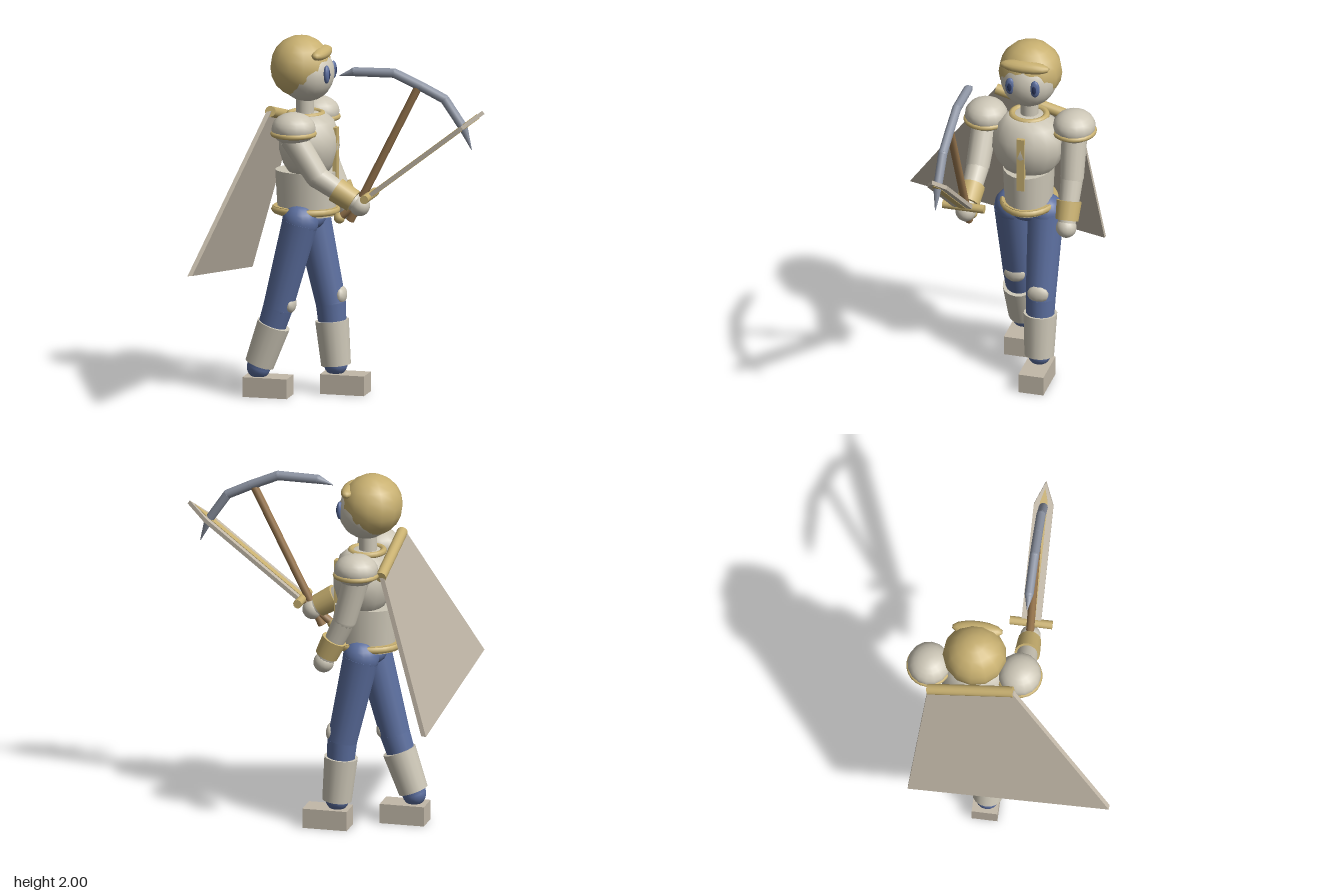
import * as THREE from 'three';
import { ConvexGeometry } from 'three/addons/geometries/ConvexGeometry.js';

const material = (name, color) => {
  const m = new THREE.MeshStandardMaterial({ color });
  m.name = name;
  return m;
};
const V = (x, y, z) => new THREE.Vector3(x, y, z);

export function createModel() {
  const cream = material('cream', 0xcdc7b7);
  const stone = material('stone', 0xc2b8a8);
  const gold = material('gold', 0xc8b070);
  const blue = material('blue', 0x5b6e9e);
  const steel = material('steel', 0x8f96a5);
  const wood = material('wood', 0x99774f);
  const dark = material('dark blue', 0x2e3a62);

  const model = new THREE.Group();
  model.name = 'adventurer';

  const add = (name, geometry, mat, pos = [0, 0, 0], parent = model) => {
    const mesh = new THREE.Mesh(geometry, mat);
    mesh.name = name;
    mesh.position.set(...pos);
    parent.add(mesh);
    return mesh;
  };
  const ball = (name, mat, pos, rx, ry = rx, rz = rx, seg = 16) => {
    const mesh = add(name, new THREE.SphereGeometry(1, seg, Math.ceil(seg * 0.7)), mat, pos);
    mesh.scale.set(rx, ry, rz);
    return mesh;
  };
  // Tapered cylinder running from point a to point b
  const rod = (name, mat, a, b, ra, rb = ra, seg = 16) => {
    const p = V(...a), q = V(...b);
    const mesh = add(name, new THREE.CylinderGeometry(rb, ra, p.distanceTo(q), seg), mat);
    mesh.position.copy(p).lerp(q, 0.5);
    mesh.quaternion.setFromUnitVectors(V(0, 1, 0), q.sub(p).normalize());
    return mesh;
  };
  const ring = (name, mat, pos, rx, rz, tube) => {
    const g = new THREE.TorusGeometry(1, tube / rx, 8, 24).rotateX(Math.PI / 2);
    const mesh = add(name, g, mat, pos);
    mesh.scale.set(rx, rx, rz);
    return mesh;
  };

  const midZ = -0.21;

  // Head, facing +x
  ball('head', cream, [-0.31, 1.795, midZ], 0.153, 0.157, 0.155, 20);
  ball('hair', gold, [-0.343, 1.83, midZ], 0.17, 0.172, 0.176, 13);
  ball('fringe', gold, [-0.225, 1.91, midZ], 0.047, 0.036, 0.142, 14);
  for (const s of [-1, 1]) {
    ball('eye', blue, [-0.178, 1.805, midZ + s * 0.07], 0.018, 0.05, 0.028);
    ball('pupil', dark, [-0.164, 1.805, midZ + s * 0.07], 0.006, 0.026, 0.013);
  }
  rod('neck', cream, [-0.32, 1.54, midZ], [-0.32, 1.68, midZ], 0.05);
  ring('collar', gold, [-0.315, 1.565, midZ], 0.09, 0.095, 0.018);

  // Torso
  const chestProfile = [[0, 1.22], [0.13, 1.24], [0.175, 1.3], [0.203, 1.38], [0.198, 1.45], [0.165, 1.53], [0.11, 1.57], [0, 1.575]];
  const chest = add('chest', new THREE.LatheGeometry(chestProfile.map(p => new THREE.Vector2(...p)), 16), cream, [-0.295, 0, midZ]);
  chest.scale.x = 0.81;
  const waist = add('waist', new THREE.CylinderGeometry(0.14, 0.128, 0.25, 20), cream, [-0.31, 1.13, midZ]);
  waist.scale.x = 1.25;
  const belt = add('belt', new THREE.CylinderGeometry(0.148, 0.148, 0.04, 20), gold, [-0.315, 1.035, midZ]);
  belt.scale.x = 1.22;
  ring('belt rim', gold, [-0.315, 1.035, midZ], 0.172, 0.143, 0.02);
  add('chest strip', new THREE.BoxGeometry(0.025, 0.32, 0.045), gold, [-0.146, 1.34, midZ]);
  ball('pelvis', blue, [-0.315, 0.99, midZ], 0.11, 0.075, 0.13);

  // Shoulders
  for (const z of [0.035, -0.465]) {
    ball('shoulder pad', cream, [-0.318, 1.53, z], 0.122, 0.09, 0.118);
    ring('shoulder trim', gold, [-0.318, 1.502, z], 0.113, 0.11, 0.015);
  }

  // Arms: joints listed from shoulder to hand, then the two cuff ends
  const arms = [
    { side: 'left', s: [-0.32, 1.48, 0.04], e: [-0.18, 1.27, 0.045], h: [0.06, 1.122, 0.045], c: [[-0.075, 1.205, 0.045], [0.025, 1.145, 0.045]] },
    { side: 'right', s: [-0.32, 1.48, -0.465], e: [-0.255, 1.24, -0.47], h: [-0.137, 0.99, -0.47], c: [[-0.197, 1.125, -0.47], [-0.152, 1.03, -0.47]] },
  ];
  for (const { side, s, e, h, c } of arms) {
    rod(side + ' upper arm', cream, s, e, 0.073, 0.065);
    ball(side + ' elbow', cream, e, 0.064);
    rod(side + ' forearm', cream, e, h, 0.063, 0.048);
    rod(side + ' cuff', gold, ...c, 0.07, 0.064);
    ball(side + ' hand', cream, h, 0.057);
  }

  // Legs in mid stride, the left one trailing
  const legs = [
    { side: 'left', h: [-0.32, 0.98], k: [-0.445, 0.5], a: [-0.555, 0.16], b: [[-0.55, 0.178], [-0.47, 0.402]], foot: -0.505, z: -0.112, p: [-0.374, 0.52] },
    { side: 'right', h: [-0.305, 0.98], k: [-0.2, 0.5], a: [-0.172, 0.16], b: [[-0.17, 0.155], [-0.193, 0.402]], foot: -0.118, z: -0.308, p: [-0.14, 0.545] },
  ];
  for (const { side, h, k, a, b, foot, z, p } of legs) {
    ball(side + ' hip', blue, [...h, z], 0.102, 0.1, 0.098);
    rod(side + ' thigh', blue, [...h, z], [...k, z], 0.1, 0.083);
    ball(side + ' knee', blue, [...k, z], 0.083);
    rod(side + ' shin', blue, [...k, z], [...a, z], 0.083, 0.066);
    ball(side + ' ankle', blue, [...a, z], 0.066);
    ball(side + ' knee patch', cream, [...p, z], 0.03, 0.05, 0.062, 10);
    rod(side + ' boot', cream, [...b[0], z], [...b[1], z], 0.082, 0.093);
    add(side + ' foot', new THREE.BoxGeometry(0.25, 0.11, 0.142), stone, [foot, 0.055, z < -0.2 ? -0.309 : -0.119]);
  }

  // Cape: a stiff slab flaring from its rod
  const corners = [];
  for (const [x, y, z] of [[-0.475, 1.615, 0.02], [-0.475, 1.49, -0.455], [-0.77, 0.79, 0.585], [-0.73, 0.625, -0.53]]) {
    corners.push(V(x, y, z), V(x + 0.027, y + 0.003, z));
  }
  add('cape', new ConvexGeometry(corners), stone);
  rod('cape rod', gold, [-0.455, 1.615, 0.015], [-0.455, 1.495, -0.455], 0.03);

  // Pickaxe
  const toolZ = 0.042;
  rod('pickaxe handle', wood, [0.005, 1.035, toolZ], [0.39, 1.8, toolZ], 0.022, 0.022, 10);
  const pick = [[-0.055, 1.842, 0.002], [0.03, 1.868, 0.025], [0.255, 1.872, 0.026], [0.41, 1.805, 0.026], [0.54, 1.742, 0.026], [0.645, 1.59, 0.025], [0.693, 1.468, 0.002]];
  pick.forEach(([x, y, r], i) => {
    if (i === 0) return;
    const [px, py, pr] = pick[i - 1];
    rod('pickaxe head', steel, [px, py, toolZ], [x, y, toolZ], pr, r, 10);
    if (i < pick.length - 1) ball('pickaxe joint', steel, [x, y, toolZ], r, r, r, 10);
  });

  // Sword: local x runs along the blade, starting at the guard
  const sword = new THREE.Group();
  sword.name = 'sword';
  sword.position.set(0.115, 1.18, toolZ);
  sword.rotation.z = Math.atan2(0.5, 0.645);
  model.add(sword);
  const blade = (length, shoulder, half, thick) => {
    const shape = new THREE.Shape([[0, -half], [shoulder, -half], [length, 0], [shoulder, half], [0, half]].map(p => new THREE.Vector2(...p)));
    return new THREE.ExtrudeGeometry(shape, { depth: thick, bevelEnabled: false }).translate(0, 0, -thick / 2).rotateX(Math.PI / 2);
  };
  add('blade', blade(0.816, 0.68, 0.054, 0.022), stone, [0, 0, 0], sword);
  add('blade groove', blade(0.77, 0.69, 0.021, 0.028), gold, [0.01, 0, 0], sword);
  add('guard', new THREE.CylinderGeometry(0.024, 0.024, 0.235, 12).rotateX(Math.PI / 2), gold, [0, 0, 0], sword);
  add('grip', new THREE.CylinderGeometry(0.021, 0.021, 0.21, 10).rotateZ(Math.PI / 2), wood, [-0.105, 0, 0], sword);
  add('pommel', new THREE.SphereGeometry(0.031, 12, 8), gold, [-0.217, 0, 0], sword);

  return model;
}
